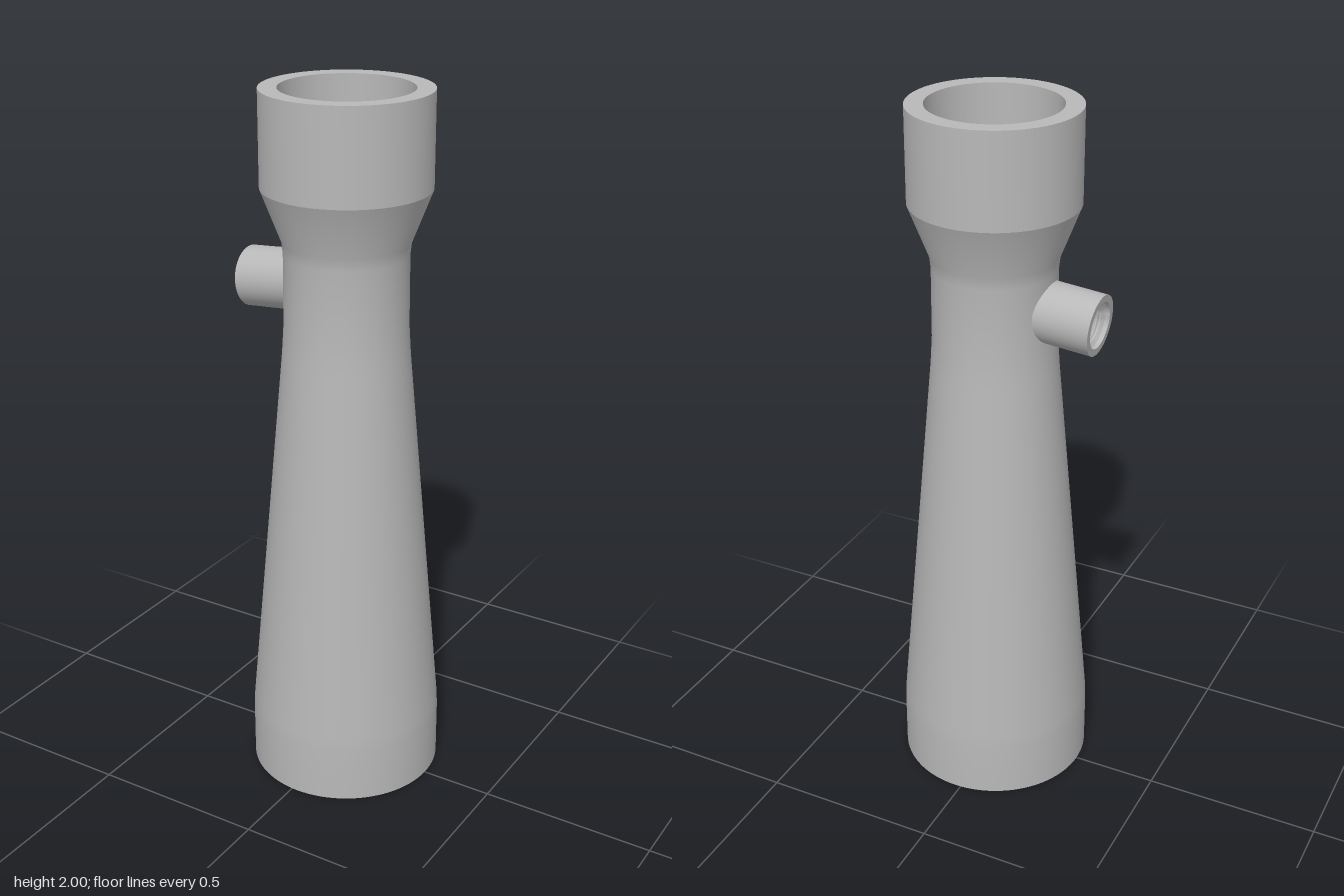
import * as THREE from 'three';
import { toCreasedNormals } from 'three/addons/utils/BufferGeometryUtils.js';

const AXIS_X = 0.018;

// Solid of revolution from a closed [radius, height] outline, with sharp edges kept
function revolve(outline, segments) {
  const points = [...outline, outline[0]].map(([r, y]) => new THREE.Vector2(r, y));
  return toCreasedNormals(new THREE.LatheGeometry(points, segments), 0.3);
}

export function createModel() {
  const group = new THREE.Group();
  const grey = new THREE.MeshStandardMaterial({ color: 0xb8b8b8 });
  grey.name = 'plain grey';

  const add = (name, geometry) => {
    const mesh = new THREE.Mesh(geometry, grey);
    mesh.name = name;
    group.add(mesh);
    return mesh;
  };

  // Hollow venturi body: outer wall upwards, then the bore back down
  const body = add('venturiBody', revolve([
    [0.274, 0], [0.274, 0.16], [0.272, 0.2], [0.176, 1.28], [0.171, 1.36],
    [0.17, 1.56], [0.174, 1.595], [0.23, 1.74], [0.23, 2],
    [0.18, 2], [0.18, 1.74], [0.124, 1.595], [0.121, 1.56],
    [0.121, 1.36], [0.126, 1.28], [0.222, 0.2], [0.224, 0.16], [0.224, 0],
  ], 96));
  body.position.x = AXIS_X;

  // Crossed straightening vanes in the outlet
  for (const turn of [0, Math.PI / 2]) {
    const vane = add('outletVane', new THREE.BoxGeometry(0.46, 0.17, 0.02));
    vane.position.set(AXIS_X, 0.085, 0);
    vane.rotation.y = turn;
  }

  // Side port: short tube with a ridged bore, drawn from its inner end outwards
  const length = 0.165;
  const outline = [[0.084, 0], [0.084, length], [0.064, length]];
  for (let i = 0; i < 5; i++) {
    const y = length - 0.012 - i * 0.024;
    outline.push([0.064, y], [0.054, y - 0.009], [0.054, y - 0.013], [0.064, y - 0.022]);
  }
  outline.push([0.06, 0]);
  const port = add('sidePort', revolve(outline, 48));
  const tilt = 0.085;
  port.rotation.z = Math.PI / 2 + tilt;
  port.position.set(-0.288 + length * Math.cos(tilt), 1.447 + length * Math.sin(tilt), 0);

  return group;
}
